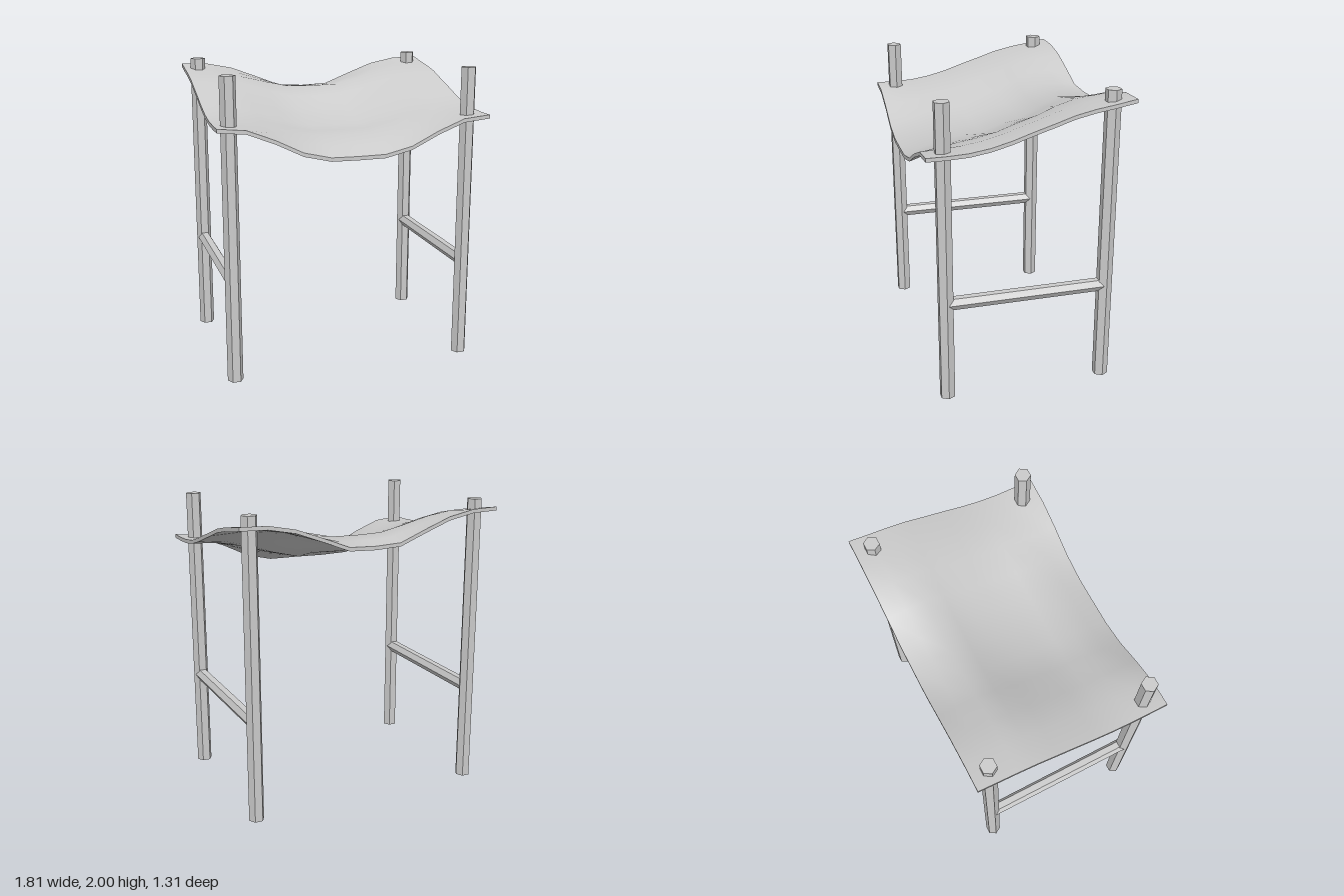
import * as THREE from 'three';

const material = new THREE.MeshStandardMaterial({ color: 0xcccccc });
const flat = new THREE.MeshStandardMaterial({ color: 0xcccccc, flatShading: true });

// Linear sample of an evenly spaced list, t in 0..1
function sample(list, t) {
  const f = THREE.MathUtils.clamp(t, 0, 1) * (list.length - 1);
  const i = Math.min(Math.floor(f + 1e-6), list.length - 2);
  return THREE.MathUtils.lerp(list[i], list[i + 1], f - i);
}

// Hexagonal bar standing on the y axis, corners pointing along x
function hexBar(name, radius, length) {
  const geometry = new THREE.CylinderGeometry(radius, radius, length, 6);
  geometry.rotateY(Math.PI / 6);
  const mesh = new THREE.Mesh(geometry, flat);
  mesh.name = name;
  return mesh;
}

// Hanging cloth: a thin subdivided slab that sags between its side edges
function createCloth() {
  const width = 1.806, depth = 1.31, thickness = 0.025;
  // Heights of the upper face from front to back
  const sideEdge = [1.697, 1.697, 1.703, 1.723, 1.757, 1.8, 1.84, 1.882, 1.91, 1.93, 1.953];
  const middle = [1.475, 1.525, 1.568, 1.58, 1.59, 1.633, 1.665, 1.735, 1.793, 1.78, 1.765];
  // Share of the sag from the centre line to the side edge
  const sagFront = [1, 0.99, 0.8, 0.4, 0.08, 0];
  const sagBack = [1, 0.96, 0.58, 0.22, 0.03, 0];

  const geometry = new THREE.BoxGeometry(width, thickness, depth, 10, 1, 10);
  const p = geometry.attributes.position;
  for (let i = 0; i < p.count; i++) {
    const across = Math.abs(p.getX(i)) / (width / 2);
    const back = 0.5 - p.getZ(i) / depth;
    const sag = THREE.MathUtils.lerp(sample(sagFront, across), sample(sagBack, across), back);
    const top = THREE.MathUtils.lerp(sample(sideEdge, back), sample(middle, back), sag);
    p.setY(i, top + p.getY(i) - thickness / 2);
  }
  geometry.computeVertexNormals();
  const cloth = new THREE.Mesh(geometry, material);
  cloth.name = 'cloth';
  return cloth;
}

export function createModel() {
  const model = new THREE.Group();
  model.name = 'canopyStand';
  model.add(createCloth());

  for (const [side, x] of [['left', 0.797], ['right', -0.807]]) {
    // Corner posts
    for (const [end, z] of [['Front', 0.533], ['Back', -0.538]]) {
      const post = hexBar(side + end + 'Post', 0.052, 2);
      post.position.set(x, 1, z);
      model.add(post);
    }
    // Rail joining the front and back posts
    const rail = hexBar(side + 'Rail', 0.044, 1.07);
    rail.rotation.x = Math.PI / 2;
    rail.position.set(x, 0.677, 0);
    model.add(rail);
  }
  return model;
}
